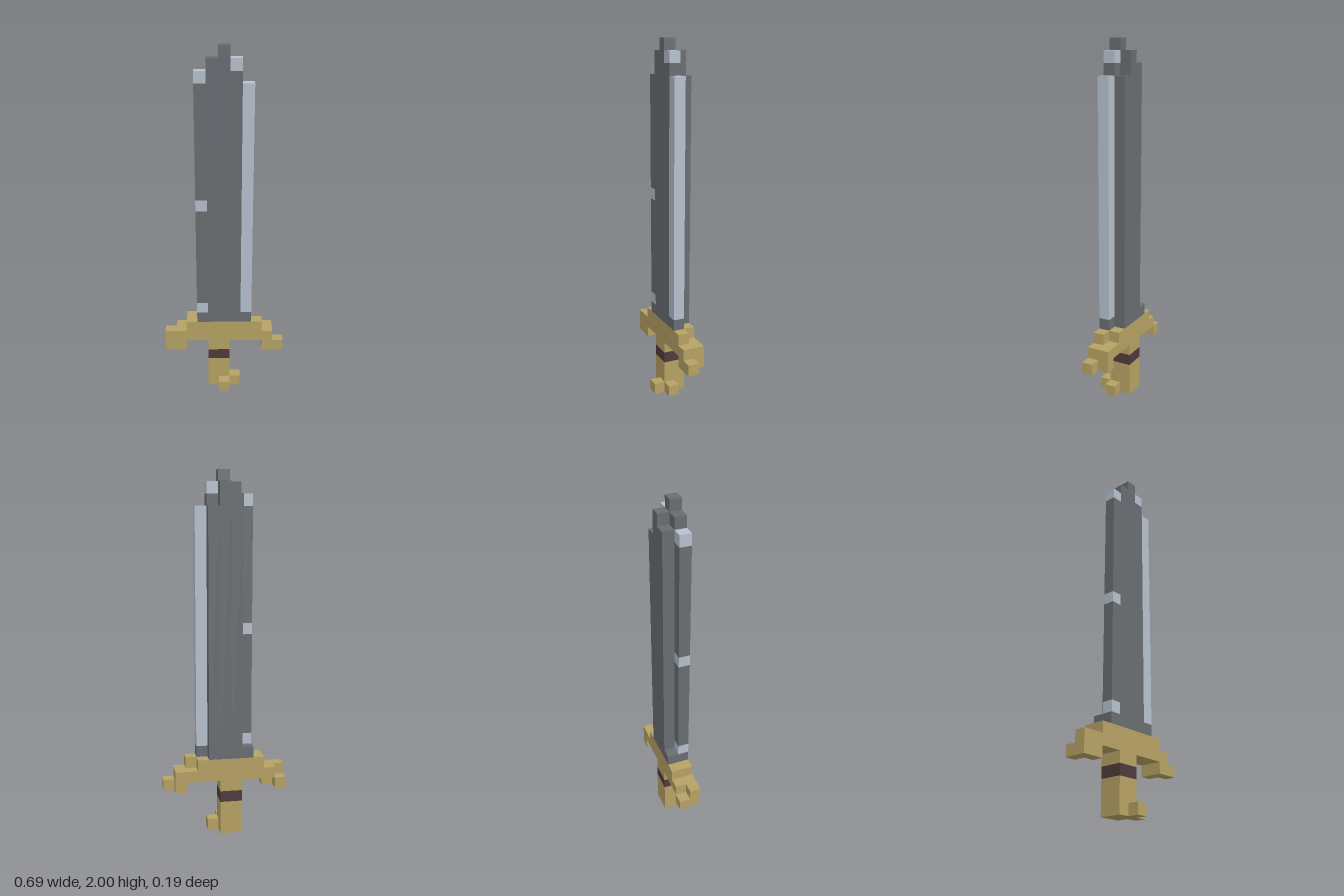
import * as THREE from 'three';

const U = 2 / 32; // one voxel

const steel = new THREE.MeshStandardMaterial({ color: 0x686d71 });
steel.name = 'dark steel';
const silver = new THREE.MeshStandardMaterial({ color: 0xb6c0cc });
silver.name = 'bright edge';
const gold = new THREE.MeshStandardMaterial({ color: 0xb6a264 });
gold.name = 'gold';
const leather = new THREE.MeshStandardMaterial({ color: 0x4f3a3c });
leather.name = 'dark leather';

// Box covering whole voxels: columns x0..x1, rows y0..y1, layers z0..z1 (inclusive).
// Column 0 and layer 0 are centred on the axis, row 0 stands on the ground.
function block(group, name, material, [x0, x1], [y0, y1], [z0, z1]) {
  const geometry = new THREE.BoxGeometry((x1 - x0 + 1) * U, (y1 - y0 + 1) * U, (z1 - z0 + 1) * U);
  const mesh = new THREE.Mesh(geometry, material);
  mesh.position.set((x0 + x1) / 2 * U, (y0 + y1 + 1) / 2 * U, (z0 + z1) / 2 * U);
  mesh.name = name;
  group.add(mesh);
}

function part(parent, name) {
  const group = new THREE.Group();
  group.name = name;
  parent.add(group);
  return group;
}

export function createModel() {
  const model = new THREE.Group();
  model.name = 'sword';
  const front = [0, 0], back = [-1, -1], both = [-1, 0];

  // Blade: front layer
  const blade = part(model, 'blade');
  block(blade, 'bladeBase', steel, [-2, 2], [7, 7], front);
  block(blade, 'bladeCore', steel, [-1, 0], [8, 30], front);
  block(blade, 'bladeShoulder', steel, [1, 1], [8, 29], front);
  block(blade, 'bladeTip', steel, [0, 0], [31, 31], front);
  block(blade, 'rightEdgeLower', steel, [-2, -2], [9, 17], front);
  block(blade, 'rightEdgeUpper', steel, [-2, -2], [19, 28], front);

  // Blade: back layer, stepped at the top
  block(blade, 'backBase', steel, [-2, 1], [7, 7], back);
  [[-1, 29], [0, 30], [1, 28]].forEach(([x, top]) =>
    block(blade, 'backStrip', steel, [x, x], [8, top], back));

  // Bright edge and glints
  block(blade, 'leftEdge', silver, [2, 2], [8, 28], front);
  block(blade, 'tipGlint', silver, [1, 1], [30, 30], front);
  for (const y of [8, 18, 29]) block(blade, 'edgeGlint', silver, [-2, -2], [y, y], front);

  // Crossguard
  const guard = part(model, 'crossguard');
  block(guard, 'guardTopFront', gold, [-3, 3], [6, 6], front);
  block(guard, 'guardTopBack', gold, [-3, 2], [6, 6], back);
  block(guard, 'guardBarFront', gold, [-5, 4], [5, 5], front);
  block(guard, 'guardBarBack', gold, [-4, 4], [5, 5], back);
  block(guard, 'rightGuardEnd', gold, [-5, -4], [4, 4], front);
  block(guard, 'rightGuardEndBack', gold, [-5, -5], [4, 4], back);
  block(guard, 'leftGuardEnd', gold, [4, 5], [4, 4], front);
  block(guard, 'leftGuardEndBack', gold, [4, 4], [4, 4], back);

  // Handle with a wrapped band and pommel studs
  const handle = part(model, 'handle');
  block(handle, 'handleNeck', gold, [-1, 0], [4, 4], both);
  block(handle, 'handleBand', leather, [-1, 0], [3, 3], both);
  block(handle, 'grip', gold, [-1, 0], [0, 2], both);
  block(handle, 'sideStud', gold, [1, 1], [0, 0], front);
  block(handle, 'frontStud', gold, [0, 0], [0, 0], [1, 1]);

  return model;
}
